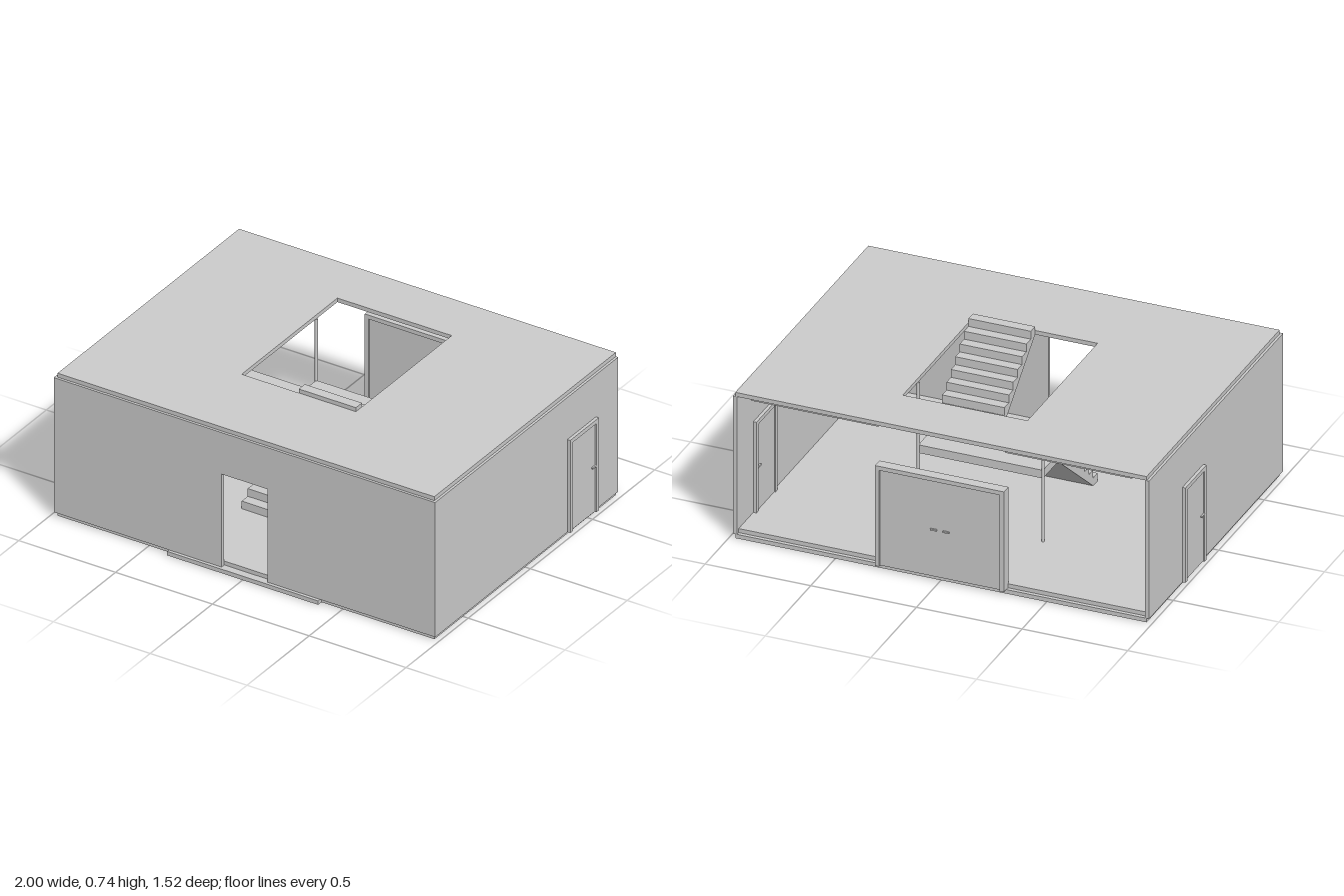
import * as THREE from 'three';

const material = new THREE.MeshStandardMaterial({ color: 0xcccccc, flatShading: true });

function add(parent, name, geometry) {
  const mesh = new THREE.Mesh(geometry, material);
  mesh.name = name;
  parent.add(mesh);
  return mesh;
}

// Box given by its low and high corners
function block(parent, name, [x0, y0, z0], [x1, y1, z1]) {
  const g = new THREE.BoxGeometry(x1 - x0, y1 - y0, z1 - z0);
  g.translate((x0 + x1) / 2, (y0 + y1) / 2, (z0 + z1) / 2);
  return add(parent, name, g);
}

const polygon = (points) => new THREE.Shape(points.map(([x, y]) => new THREE.Vector2(x, y)));
const rect = (x0, y0, x1, y1) => polygon([[x0, y0], [x1, y0], [x1, y1], [x0, y1]]);
const extrude = (shape, depth) => new THREE.ExtrudeGeometry(shape, { depth, bevelEnabled: false });

const STEPS = 9, TREAD = 0.435 / STEPS, RISE = 0.35 / STEPS;

// Flight with saw-tooth top and sloping underside, running along z in direction dir
function flight(parent, name, x1, z, y, dir) {
  const points = [[z, y - RISE]];
  for (let i = 0; i < STEPS; i++) {
    points.push([z + dir * TREAD * i, y + RISE * (i + 1)]);
    points.push([z + dir * TREAD * (i + 1), y + RISE * (i + 1)]);
  }
  points.push([z + dir * TREAD * STEPS, y + RISE * (STEPS - 1)]);
  const g = extrude(polygon(points), 0.295);
  g.rotateY(-Math.PI / 2);
  g.translate(x1, 0, 0);
  add(parent, name, g);
}

// Door in local space: width along x, faces on z, standing on y = 0
function door(name, width, height, depth, handles) {
  const group = new THREE.Group();
  group.name = name;
  const w = width / 2, t = 0.02;
  const frame = polygon([[-w, 0], [-w, height], [w, height], [w, 0],
    [w - t, 0], [w - t, height - t], [-w + t, height - t], [-w + t, 0]]);
  const g = extrude(frame, depth);
  g.translate(0, 0, -depth / 2);
  add(group, 'doorFrame', g);
  const p = depth / 2 - 0.006;
  block(group, 'doorPanel', [-w + t, 0.004, -p], [w - t, height - t, p]);
  for (const x of handles) {
    for (const s of [-1, 1]) {
      const z = s * (p + 0.004);
      block(group, 'doorHandle', [x - 0.015, 0.232, z - 0.004], [x + 0.015, 0.239, z + 0.004]);
    }
  }
  return group;
}

export function createModel() {
  const model = new THREE.Group();
  model.name = 'house';

  // Floor and entrance step
  block(model, 'baseSlab', [-0.973, 0, -0.73], [0.973, 0.02, 0.73]);
  block(model, 'innerFloor', [-0.965, 0.02, -0.712], [0.965, 0.04, 0.72]);
  block(model, 'entranceStep', [-0.39, 0, 0.73], [0.39, 0.02, 0.757]);

  // Roof with stair opening
  const roofShape = rect(-0.973, -0.73, 0.973, 0.73);
  roofShape.holes.push(rect(-0.295, -0.305, 0.295, 0.465));
  const roof = extrude(roofShape, 0.02);
  roof.rotateX(-Math.PI / 2);
  roof.translate(0, 0.7, 0);
  add(model, 'roofSlab', roof);

  // Front wall with open doorway
  const front = extrude(polygon([[-0.985, 0.02], [-0.118, 0.02], [-0.118, 0.49], [0.118, 0.49],
    [0.118, 0.02], [0.985, 0.02], [0.985, 0.7], [-0.985, 0.7]]), 0.02);
  front.translate(0, 0, 0.722);
  add(model, 'frontWall', front);

  for (const s of [-1, 1]) {
    const range = (a, b) => [Math.min(s * a, s * b), Math.max(s * a, s * b)];
    // Side walls
    const [w0, w1] = range(0.965, 0.985);
    block(model, 'sideWall', [w0, 0.02, -0.73], [w1, 0.7, 0.722]);
    // Ceiling rails along the open back
    const [r0, r1] = range(0.3, 0.9);
    block(model, 'ceilingRail', [r0, 0.69, -0.722], [r1, 0.7, -0.705]);
    // Posts carrying the landing
    const post = new THREE.CylinderGeometry(0.007, 0.007, 0.66, 12);
    post.translate(s * 0.295, 0.37, -0.295);
    add(model, 'stairPost', post);
  }

  // Doors: wide pair at the back, one in each side wall
  const back = door('backDoor', 0.61, 0.495, 0.05, [-0.03, 0.03]);
  back.position.set(-0.004, 0.02, -0.731);
  const right = door('sideDoor', 0.23, 0.468, 0.05, [0.08]);
  right.rotation.y = Math.PI / 2;
  right.position.set(0.975, 0.02, -0.436);
  const left = door('sideDoor', 0.23, 0.468, 0.05, [0.08]);
  left.rotation.y = -Math.PI / 2;
  left.position.set(-0.975, 0.02, -0.25);
  model.add(back, right, left);

  // Stair turning back on itself at a half landing
  const stair = new THREE.Group();
  stair.name = 'staircase';
  model.add(stair);
  flight(stair, 'lowerFlight', 0, 0.305, 0.04, -1);
  flight(stair, 'upperFlight', 0.295, -0.13, 0.39, 1);
  block(stair, 'landing', [-0.295, 0.35, -0.295], [0.295, 0.39, -0.13]);

  return model;
}
